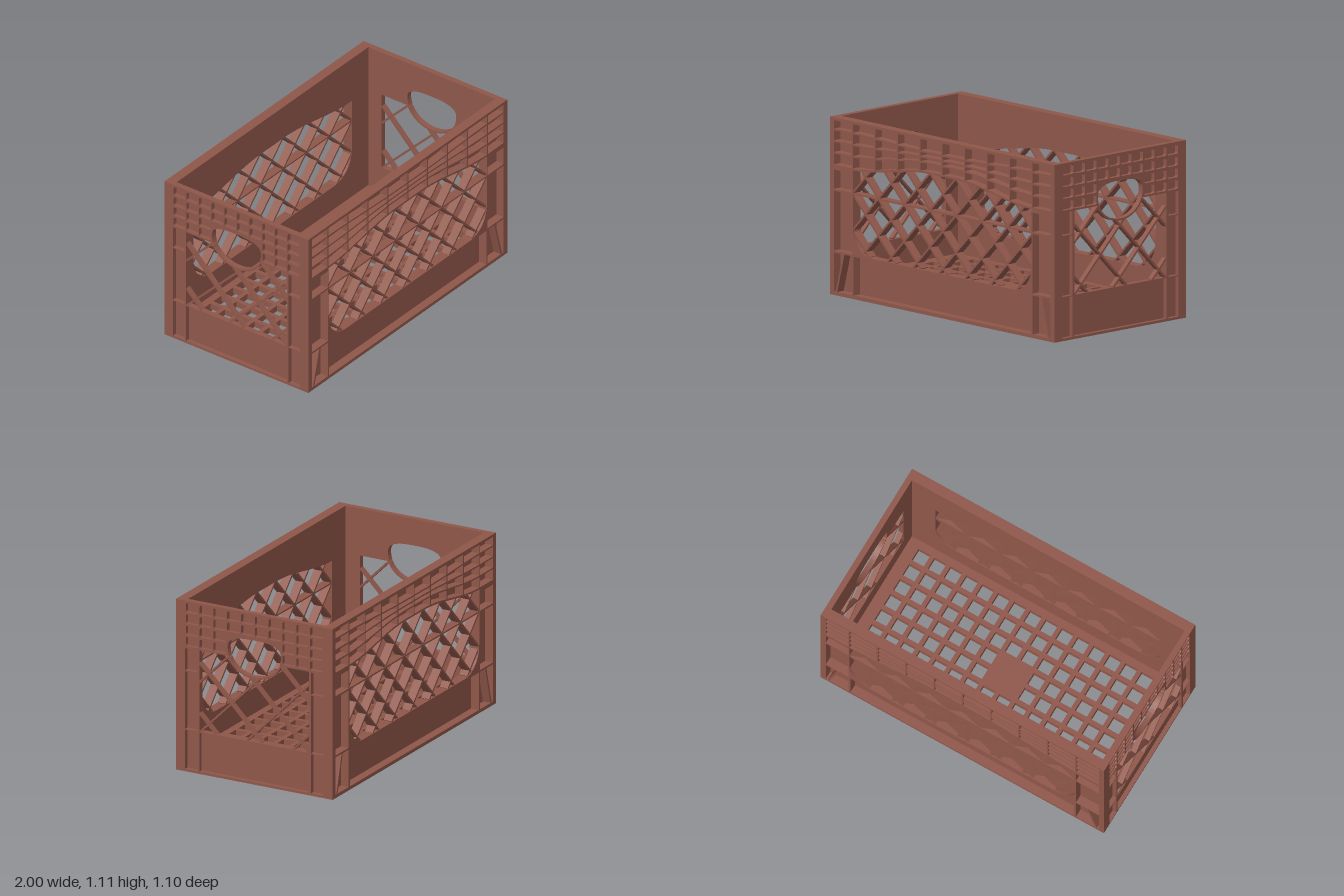
import * as THREE from 'three';

const plastic = new THREE.MeshStandardMaterial({ color: 0x8f574a });
plastic.name = 'brick brown plastic';

const H = 1.105; // crate height

const P = (x, y) => new THREE.Vector2(x, y);
const rect = (x0, y0, x1, y1) => [P(x0, y0), P(x1, y0), P(x1, y1), P(x0, y1)];

// rectangle with small rounded corners
function roundRect(x0, y0, x1, y1, r) {
  const corners = [[x1 - r, y1 - r], [x0 + r, y1 - r], [x0 + r, y0 + r], [x1 - r, y0 + r]];
  return corners.flatMap(([cx, cy], q) => [0, 1, 2].map((k) => {
    const a = (q + k / 2) * Math.PI / 2;
    return P(cx + r * Math.cos(a), cy + r * Math.sin(a));
  }));
}

// flat plate with holes, between two depths
function plate(name, outline, holes, z0, z1) {
  const shape = new THREE.Shape(outline);
  holes.forEach((h) => shape.holes.push(new THREE.Path(h)));
  const geo = new THREE.ExtrudeGeometry(shape, { depth: z1 - z0, bevelEnabled: false });
  const mesh = new THREE.Mesh(geo.translate(0, 0, z0), plastic);
  mesh.name = name;
  return mesh;
}

// straight bar between two points of a wall
function bar(name, a, b, width, z0, z1) {
  const mesh = new THREE.Mesh(new THREE.BoxGeometry(a.distanceTo(b), width, z1 - z0), plastic);
  mesh.position.set((a.x + b.x) / 2, (a.y + b.y) / 2, (z0 + z1) / 2);
  mesh.rotation.z = Math.atan2(b.y - a.y, b.x - a.x);
  mesh.name = name;
  return mesh;
}

// crossed diagonal bars, kept to where inside(x, y) holds
function lattice(inside, half, cx, cy, pitch, width, z0, z1) {
  const group = new THREE.Group();
  group.name = 'diagonalLattice';
  const step = 0.004;
  for (const s of [-1, 1]) {
    for (let k = -12; k <= 12; k++) {
      let start = null, last = null;
      for (let x = -half - step; x <= half + 2 * step; x += step) {
        const p = P(x, cy + s * (x - cx) + k * pitch);
        if (inside(p.x, p.y)) {
          start = start || p;
          last = p;
        } else if (start) {
          if (last.distanceTo(start) > 0.02) {
            const e = last.clone().sub(start).setLength(0.004);
            group.add(bar('latticeBar', start.clone().sub(e), last.clone().add(e), width, z0, z1));
          }
          start = null;
        }
      }
    }
  }
  return group;
}

// bowed ribs over the long window: heights at the ends and at the middle
const endY = [1.093, 1.03, 0.957, 0.885, 0.8];
const midY = [1.093, 1.012, 0.978, 0.946, 0.88];
const ribY = (i, x) =>
  endY[i] + (midY[i] - endY[i]) * (1 - THREE.MathUtils.smoothstep(Math.abs(x), 0.12, 0.8));

function longWall() {
  const wall = new THREE.Group();
  const W = 0.97, half = 0.795, r = 0.17, low = 0.275;

  // window outline: rounded bottom corners and arched top
  const window = [];
  for (let i = 0; i <= 8; i++) {
    const a = Math.PI + i / 8 * Math.PI / 2;
    window.push(P(-half + r + r * Math.cos(a), low + r + r * Math.sin(a)));
  }
  for (let i = 8; i >= 0; i--) {
    const a = Math.PI + i / 8 * Math.PI / 2;
    window.push(P(half - r - r * Math.cos(a), low + r + r * Math.sin(a)));
  }
  for (let i = 0; i <= 32; i++) {
    const x = half - i / 32 * 2 * half;
    window.push(P(x, ribY(4, x)));
  }

  // pockets between the outer ribs
  const pockets = [rect(-0.79, 0.022, 0.79, 0.264)];
  for (const s of [-1, 1]) {
    for (const [y0, y1] of [[0.022, 0.264], [0.276, 0.648], [0.66, 0.78]]) {
      pockets.push(rect(s * 0.803, y0, s * 0.964, y1));
    }
  }
  for (let c = -5; c < 5; c++) {
    const x0 = Math.max(c * 0.2 + 0.005, -0.964), x1 = Math.min(c * 0.2 + 0.195, 0.964);
    for (let i = 0; i < 4; i++) {
      const pts = [];
      for (let k = 0; k <= 4; k++) {
        const x = x0 + (x1 - x0) * k / 4;
        pts.push(P(x, ribY(i + 1, x) + (i === 3 ? 0.012 : 0.005)));
      }
      for (let k = 4; k >= 0; k--) {
        const x = x0 + (x1 - x0) * k / 4;
        pts.push(P(x, ribY(i, x) - 0.005));
      }
      pockets.push(pts);
    }
  }
  wall.add(plate('longInnerSkin', rect(-W, 0, W, H), [window], 0.485, 0.495));
  wall.add(plate('longRibFrame', rect(-W, 0, W, H), [window, ...pockets], 0.488, 0.55));

  const inside = (x, y) => {
    const ax = Math.abs(x), dx = ax - (half - r), dy = low + r - y;
    if (ax > half || y < low || y > ribY(4, x)) return false;
    return !(dx > 0 && dy > 0 && Math.hypot(dx, dy) > r);
  };
  wall.add(lattice(inside, half, 0, 0.54, 0.23, 0.013, 0.489, 0.545));
  wall.add(bar('windowRail', P(-half, 0.654), P(half, 0.654), 0.01, 0.489, 0.548));
  for (const s of [-1, 1]) {
    wall.add(bar('cornerGusset', P(s * 0.943, 0.02), P(s * 0.878, 0.266), 0.014, 0.494, 0.548));
  }
  return wall;
}

// hand hole: flat at the top, round at the bottom
function handle(grow) {
  const pts = [];
  for (let i = 0; i < 48; i++) {
    const t = i / 48 * Math.PI * 2, c = Math.cos(t), s = Math.sin(t);
    const e = s > 0 ? 0.72 : 0.98, b = s > 0 ? 0.078 : 0.16;
    pts.push(P(Math.sign(c) * Math.abs(c) ** e * (0.187 + grow),
      0.855 + Math.sign(s) * Math.abs(s) ** e * (b + grow)));
  }
  return pts;
}

function endWall() {
  const wall = new THREE.Group();
  const half = 0.385, low = 0.275, top = 0.8;
  const grip = handle(0);

  // window joined with the upper part of the hand hole
  const upper = grip.filter((p) => p.y > top).sort((a, b) =>
    Math.atan2(a.x, a.y - top) < Math.atan2(b.x, b.y - top) ? 1 : -1);
  const opening = [P(-half, low), P(half, low), P(half, top), P(0.176, top), ...upper,
    P(-0.176, top), P(-half, top)];

  // pockets between the outer ribs
  const pockets = [rect(-half, 0.016, half, 0.268)];
  for (const s of [-1, 1]) {
    for (const [y0, y1] of [[0.016, 0.268], [0.275, 0.648], [0.655, 0.797]]) {
      pockets.push(rect(s * 0.4, y0, s * 0.485, y1));
    }
  }
  for (let row = 0; row < 4; row++) {
    for (let col = 0; col < 10; col++) {
      if (row > 1 && col > 2 && col < 7) continue;
      const x = (col - 4.5) * 0.097, y = 1.06 - row * 0.0728;
      pockets.push(roundRect(x - 0.0445, y - 0.03, x + 0.0445, y + 0.03, 0.01));
    }
  }
  wall.add(plate('endInnerSkin', rect(-0.5, 0, 0.5, H), [opening], 0.963, 0.973));
  wall.add(plate('endRibFrame', rect(-0.55, 0, 0.55, H), [opening, ...pockets], 0.966, 1));

  // rim under the hand hole
  const lip = (pts) => pts.filter((p) => p.y < top + 0.01).sort((a, b) => a.x - b.x);
  wall.add(plate('handleRim', [...lip(handle(0.012)), ...lip(grip).reverse()], [], 0.964, 0.999));

  const inside = (x, y) => {
    if (Math.abs(x) > half || y < low || y > top) return false;
    return Math.hypot(x / 0.193, (y - 0.855) / 0.166) > 1;
  };
  wall.add(lattice(inside, half, 0, 0.33, 0.325, 0.013, 0.965, 0.998));
  return wall;
}

function floorGrid() {
  const holes = [], pitch = 0.1125, h = 0.042;
  for (let i = 0; i < 16; i++) {
    for (let j = 0; j < 8; j++) {
      if ((i === 7 || i === 8) && (j === 3 || j === 4)) continue; // solid centre pad
      const x = (i - 7.5) * pitch, z = (j - 3.5) * pitch;
      holes.push(rect(x - h, z - h, x + h, z + h));
    }
  }
  const mesh = plate('floorGrid', rect(-0.967, -0.489, 0.967, 0.489), holes, 0, 0.04);
  mesh.rotation.x = -Math.PI / 2;
  mesh.position.y = 0.07;
  return mesh;
}

export function createModel() {
  const crate = new THREE.Group();
  crate.name = 'crate';
  ['front', 'left', 'back', 'right'].forEach((side, i) => {
    const wall = i % 2 ? endWall() : longWall();
    wall.name = side + 'Wall';
    wall.rotation.y = i * Math.PI / 2;
    crate.add(wall);
  });
  crate.add(floorGrid());
  return crate;
}
